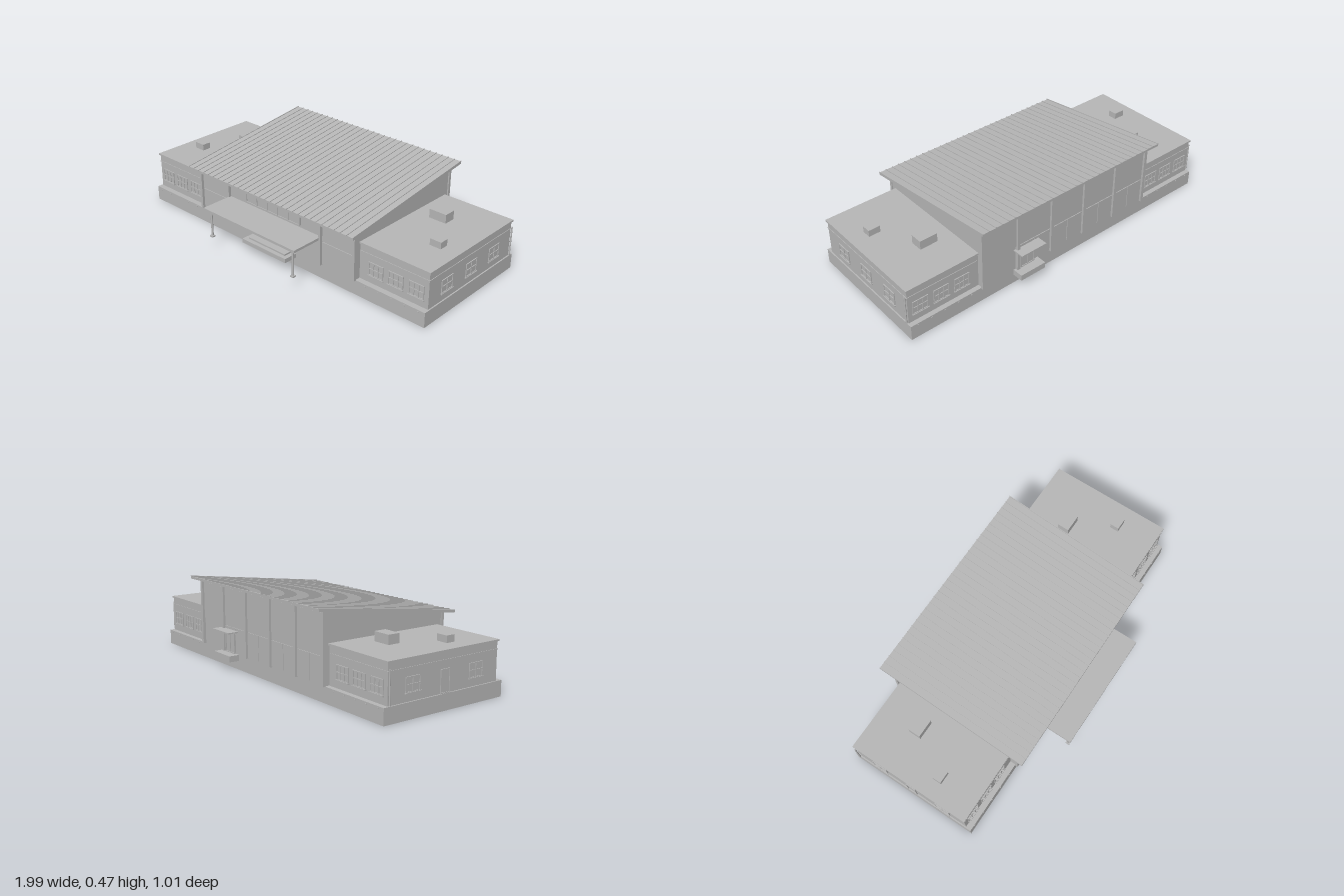
import * as THREE from 'three';

export function createModel() {
  const root = new THREE.Group();
  const grey = new THREE.MeshStandardMaterial({ color: 0xb8b8b8 });
  grey.name = 'concrete grey';

  const add = (name, geometry, parent = root) => {
    const mesh = new THREE.Mesh(geometry, grey);
    mesh.name = name;
    parent.add(mesh);
    return mesh;
  };
  // box given by its limits on each axis
  const box = (name, [x0, x1], [y0, y1], [z0, z1], parent = root) => {
    const mesh = add(name, new THREE.BoxGeometry(x1 - x0, y1 - y0, z1 - z0), parent);
    mesh.position.set((x0 + x1) / 2, (y0 + y1) / 2, (z0 + z1) / 2);
    return mesh;
  };
  // side profile of [z, y] points swept along x
  const sweep = (name, points, x0, x1) => {
    const shape = new THREE.Shape(points.map(([z, y]) => new THREE.Vector2(z, y)));
    const geometry = new THREE.ExtrudeGeometry(shape, { depth: x1 - x0, bevelEnabled: false });
    geometry.rotateY(-Math.PI / 2).translate(x1, 0, 0);
    return add(name, geometry);
  };
  // framed opening facing +z, origin at the middle of its bottom edge
  const opening = (name, w, h, columns, rows, sill) => {
    const g = new THREE.Group();
    g.name = name;
    const t = 0.005, d = 0.005;
    box('glass', [-w / 2, w / 2], [0, h], [-0.002, 0.001], g);
    for (let i = 0; i <= columns; i++) {
      const x = -w / 2 + t / 2 + (w - t) * i / columns;
      box('frameUpright', [x - t / 2, x + t / 2], [0, h], [0, d], g);
    }
    for (let i = 0; i <= rows; i++) {
      const y = t / 2 + (h - t) * i / rows;
      box('frameRail', [-w / 2, w / 2], [y - t / 2, y + t / 2], [0, d], g);
    }
    if (sill) box('sill', [-w / 2 - 0.003, w / 2 + 0.003], [-0.004, 0.002], [0, 0.009], g);
    root.add(g);
    return g;
  };
  const place = (g, x, y, z, turn = 0) => {
    g.position.set(x, y, z);
    g.rotation.y = turn;
  };

  // plinth
  box('plinth', [-0.99, 0.99], [0, 0.083], [-0.44, 0.31]);

  // hall with its sloping top
  sweep('hall', [[0.31, 0.083], [0.31, 0.356], [-0.44, 0.45], [-0.44, 0.083]], -0.565, 0.565);

  // ribbed single-pitch roof
  sweep('roof', [[0.375, 0.344], [0.375, 0.357], [-0.5, 0.467], [-0.5, 0.454]], -0.6, 0.6);
  for (let i = 0; i <= 30; i++) {
    const x = -0.598 + 1.196 * i / 30;
    sweep('roofRib', [[0.376, 0.355], [0.376, 0.361], [-0.501, 0.471], [-0.501, 0.465]], x - 0.002, x + 0.002);
  }

  // hall columns and wall panels
  const bays = [-0.563, -0.338, -0.113, 0.113, 0.338, 0.563];
  for (const x of bays) {
    box('rearColumn', [x - 0.009, x + 0.009], [0.083, 0.447], [-0.456, -0.44]);
    if (Math.abs(x) > 0.2) box('frontColumn', [x - 0.007, x + 0.007], [0.083, 0.352], [0.31, 0.327]);
  }
  for (let i = 0; i < 5; i++) {
    const x0 = bays[i] + 0.009, x1 = bays[i + 1] - 0.009, mid = (x0 + x1) / 2;
    if (i < 4) {
      box('rearLowerPanel', [x0, mid - 0.002], [0.087, 0.225], [-0.444, -0.44]);
      box('rearLowerPanel', [mid + 0.002, x1], [0.087, 0.225], [-0.444, -0.44]);
    }
    box('rearUpperPanel', [x0, x1], [0.23, 0.435], [-0.444, -0.44]);
    if (i === 0 || i === 4) {
      box('frontLowerPanel', [x0, x1], [0.087, 0.215], [0.31, 0.314]);
      box('frontUpperPanel', [x0, x1], [0.22, 0.342], [0.31, 0.314]);
    }
  }

  // front entrance
  box('entranceBeam', [-0.335, 0.335], [0.335, 0.345], [0.31, 0.322]);
  place(opening('highWindow', 0.395, 0.07, 5, 1, false), 0, 0.255, 0.318);
  box('highWindowBacking', [-0.197, 0.197], [0.255, 0.325], [0.31, 0.317]);
  place(opening('frontDoor', 0.2, 0.125, 4, 1, false), 0, 0.083, 0.316);
  box('frontDoorBacking', [-0.1, 0.1], [0.083, 0.208], [0.31, 0.315]);
  box('frontCanopy', [-0.335, 0.335], [0.226, 0.24], [0.31, 0.505]);
  box('frontLanding', [-0.135, 0.135], [0.05, 0.083], [0.31, 0.37]);
  box('frontStep', [-0.16, 0.16], [0.05, 0.074], [0.31, 0.393]);
  for (const s of [-1, 1]) {
    const post = add('canopyPost', new THREE.CylinderGeometry(0.006, 0.006, 0.156, 16));
    post.position.set(s * 0.302, 0.15, 0.48);
    box('postFoot', [s * 0.302 - 0.011, s * 0.302 + 0.011], [0.069, 0.077], [0.469, 0.491]);
  }

  // rear entrance
  box('rearCanopy', [0.2, 0.36], [0.204, 0.211], [-0.505, -0.44]);
  box('rearLanding', [0.2, 0.36], [0.05, 0.083], [-0.5, -0.44]);
  place(opening('rearDoor', 0.09, 0.11, 2, 1, false), 0.275, 0.083, -0.446, Math.PI);

  // side wings
  for (const s of [-1, 1]) {
    const span = (a, b) => (s > 0 ? [a, b] : [-b, -a]);
    const turn = s * Math.PI / 2;
    box('wing', span(0.55, 0.983), [0.083, 0.281], [-0.413, 0.278]);
    box('wingRoof', span(0.55, 0.99), [0.28, 0.289], [-0.42, 0.285]);
    box('stringCourse', span(0.57, 0.986), [0.238, 0.243], [-0.416, 0.281]);
    box('largeRoofUnit', span(0.66, 0.762), [0.285, 0.338], [-0.218, -0.15]);
    box('smallRoofUnit', span(0.83, 0.896), [0.285, 0.325], [0.026, 0.077]);
    for (let i = 0; i < 3; i++) {
      const x = s * (0.668 + 0.122 * i);
      place(opening('frontWindow', 0.09, 0.075, 3, 2, true), x, 0.125, 0.278);
      place(opening('rearWindow', 0.09, 0.075, 3, 2, true), x, 0.125, -0.413, Math.PI);
      const z = 0.135 - 0.2 * i;
      if (s < 0 && i === 1) place(opening('sideDoor', 0.06, 0.117, 1, 1, false), -0.983, 0.083, z, turn);
      else place(opening('sideWindow', 0.09, 0.075, 2, 2, true), s * 0.983, 0.125, z, turn);
    }
    // downpipe at the rear corner
    const pipe = add('downpipe', new THREE.CylinderGeometry(0.004, 0.004, 0.165, 10));
    pipe.position.set(s * 0.992, 0.17, -0.409);
    // small outlets along the foot of the walls
    for (let i = 0; i < 5; i++) {
      const x = 0.63 + 0.08 * i;
      box('frontOutlet', span(x - 0.004, x + 0.004), [0.07, 0.076], [0.31, 0.313]);
      box('rearOutlet', span(x - 0.004, x + 0.004), [0.07, 0.076], [-0.443, -0.44]);
    }
  }
  return root;
}
